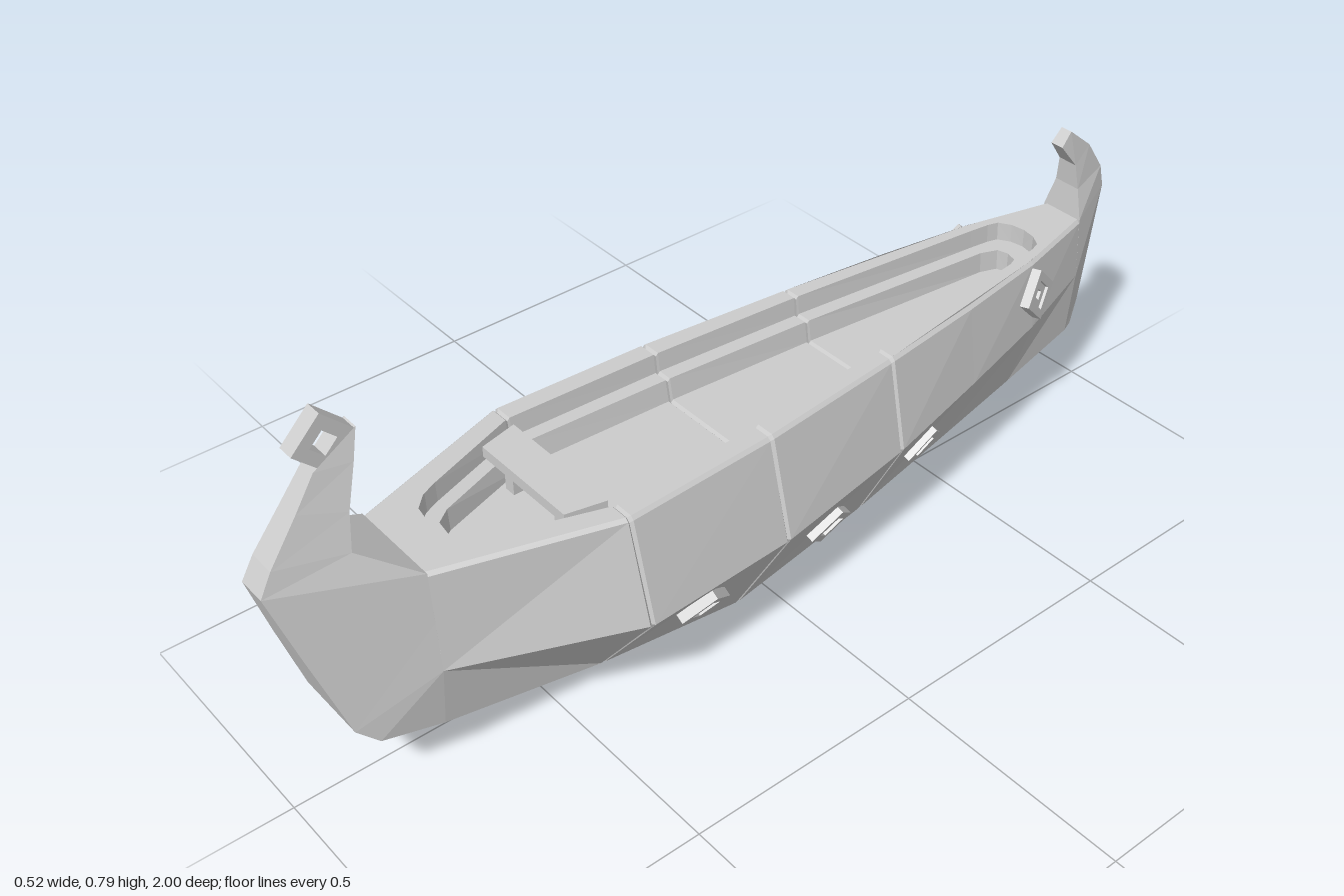
import * as THREE from 'three';

const SEAMS = [0.4, 0.07, -0.26];

// Stations: z, keel edge x/y, chine x/y, gunwale x
const OUTER = [
  [0.74, 0.1, 0.12, 0.115, 0.255, 0.1],
  [0.4, 0.1, 0.05, 0.258, 0.255, 0.205],
  [0.07, 0.096, 0.003, 0.241, 0.255, 0.19],
  [-0.26, 0.088, 0.06, 0.196, 0.27, 0.157],
  [-0.5, 0.074, 0.108, 0.153, 0.294, 0.128],
  [-0.71, 0.06, 0.149, 0.111, 0.314, 0.096],
  [-0.9, 0.045, 0.187, 0.057, 0.333, 0.049],
];
// Stations: z, well half width at the rim, half width at the floor
const INNER = [
  [0.74, 0, 0], [0.668, 0, 0], [0.66, 0.05, 0], [0.635, 0.075, 0], [0.63, 0.078, 0.035],
  [0.6, 0.091, 0.055], [0.4, 0.16, 0.118], [0.07, 0.145, 0.102], [-0.26, 0.118, 0.078],
  [-0.7, 0.068, 0.035], [-0.735, 0.063, 0.022], [-0.742, 0.062, 0], [-0.765, 0.055, 0],
  [-0.78, 0.03, 0], [-0.785, 0, 0], [-0.9, 0, 0],
];

// Linear lookup in a station table ordered from bow to stern
function sample(table, z) {
  let i = 0;
  while (i < table.length - 2 && z < table[i + 1][0]) i++;
  const a = table[i], b = table[i + 1], t = (z - a[0]) / (b[0] - a[0]);
  return a.map((v, k) => v + (b[k] - v) * t);
}

// Station positions with three tight rows round each seam
function positions(table) {
  const list = table.map(r => r[0]).filter(z => !SEAMS.includes(z));
  for (const s of SEAMS) list.push(s + 0.005, s, s - 0.005);
  return list.sort((a, b) => b - a);
}
const inset = z => (SEAMS.includes(z) ? 0.006 : 0);

// Collects quads for the +x half and mirrors them
function mirrored() {
  const pos = [];
  const tri = (a, b, c) => {
    pos.push(...a, ...b, ...c);
    for (const p of [a, c, b]) pos.push(-p[0], p[1], p[2]);
  };
  return {
    quad(a, b, c, d) { tri(a, b, c); tri(a, c, d); },
    geometry() {
      const g = new THREE.BufferGeometry();
      g.setAttribute('position', new THREE.Float32BufferAttribute(pos, 3));
      g.computeVertexNormals();
      return g;
    },
  };
}

// Outer planking: flat bottom, lower strake, upper strake, softened gunwale
function hullGeometry() {
  const m = mirrored();
  const rows = positions(OUTER).map(z => {
    const [, bx, by, cx, cy, gx] = sample(OUTER, z), d = inset(z);
    return {
      z, k: [0, by + d, z], b: [bx - d, by + d, z], c: [cx - d, cy, z],
      g: [gx - d, 0.458 - d, z], t: [gx - d - 0.007, 0.465 - d, z],
    };
  });
  for (let i = 0; i < rows.length - 1; i++) {
    const s = rows[i], n = rows[i + 1];
    m.quad(s.k, n.k, n.b, s.b);
    if (s.z > 0.5) m.quad(n.b, n.c, s.c, s.b);
    else m.quad(s.b, n.b, n.c, s.c);
    m.quad(s.c, n.c, n.g, s.g);
    m.quad(s.g, n.g, n.t, s.t);
  }
  return m.geometry();
}

// Stepped strip: rim deck, inner wall, ledge, lower wall and floor
function wellGeometry(from, to) {
  const m = mirrored();
  const rows = positions(INNER).map(z => {
    const gx = sample(OUTER, z)[5], [, a, l] = sample(INNER, z), d = inset(z);
    return [[gx - d - 0.007, 0.465], [a, 0.465], [a * 0.97, 0.425], [l * 1.08, 0.425], [l, 0.38], [0, 0.38]]
      .map(([x, y]) => [x, y - d, z]);
  });
  for (let i = 0; i < rows.length - 1; i++)
    for (let j = from; j < to; j++)
      m.quad(rows[i][j], rows[i + 1][j], rows[i + 1][j + 1], rows[i][j + 1]);
  return m.geometry();
}

// Stem rows: outer z, y, half width, then inner z, y, half width
const BOW = [
  [0.86, 0.145, 0.088, 0.74, 0.12, 0.1],
  [0.9, 0.185, 0.078, 0.74, 0.255, 0.115],
  [0.955, 0.36, 0.052, 0.74, 0.36, 0.107],
  [1.0, 0.51, 0.03, 0.74, 0.465, 0.1],
  [0.975, 0.555, 0.028, 0.845, 0.54, 0.055],
  [0.915, 0.635, 0.023, 0.832, 0.61, 0.042],
  [0.872, 0.695, 0.018, 0.805, 0.69, 0.028],
  [0.845, 0.7, 0.016, 0.788, 0.745, 0.017],
];
const STERN = [
  [-0.925, 0.19, 0.036, -0.9, 0.187, 0.045],
  [-0.945, 0.24, 0.031, -0.9, 0.333, 0.057],
  [-1.0, 0.5, 0.018, -0.9, 0.465, 0.049],
  [-0.988, 0.55, 0.017, -0.906, 0.53, 0.03],
  [-0.945, 0.615, 0.015, -0.9, 0.585, 0.022],
  [-0.885, 0.665, 0.013, -0.86, 0.637, 0.015],
];
function stemGeometry(rows) {
  const m = mirrored(), bow = rows[0][0] > 0;
  const put = (a, b, c, d) => (bow ? m.quad(a, b, c, d) : m.quad(d, c, b, a));
  const pts = rows.map(([zf, yf, wf, zb, yb, wb]) => [[0, yf, zf], [wf, yf, zf], [wb, yb, zb], [0, yb, zb]]);
  for (let i = 0; i < pts.length - 1; i++)
    for (let j = 0; j < 3; j++) put(pts[i][j], pts[i][j + 1], pts[i + 1][j + 1], pts[i + 1][j]);
  const first = pts[0], last = pts[pts.length - 1];
  put(first[3], first[2], first[1], first[0]);
  put(last[0], last[1], last[2], last[3]);
  return m.geometry();
}

// Square ring standing on a corner
function diamondRing(outer, inner, depth) {
  const corners = r => [[r, 0], [0, r], [-r, 0], [0, -r]].map(([x, y]) => new THREE.Vector2(x, y));
  const shape = new THREE.Shape(corners(outer));
  shape.holes.push(new THREE.Path(corners(inner).reverse()));
  return new THREE.ExtrudeGeometry(shape, { depth, bevelEnabled: false });
}

export function createModel() {
  const boat = new THREE.Group();
  boat.name = 'boat';
  const wood = new THREE.MeshStandardMaterial({ color: 0xcccccc, side: THREE.DoubleSide });
  wood.name = 'pale grey';
  const add = (name, geometry, parent = boat) => {
    const mesh = new THREE.Mesh(geometry, wood);
    mesh.name = name;
    parent.add(mesh);
    return mesh;
  };

  add('hull', hullGeometry());
  add('rimDeck', wellGeometry(0, 2));
  add('innerLedge', wellGeometry(2, 4));
  add('floor', wellGeometry(4, 5));
  add('bowStem', stemGeometry(BOW));
  add('sternStem', stemGeometry(STERN));

  // Pierced square at the top of the bow
  const head = add('bowRing', diamondRing(0.058, 0.025, 0.034).translate(0, 0, -0.017));
  head.rotation.y = Math.PI / 2;
  head.position.set(0, 0.74, 0.846);

  // Bench, narrower towards the bow, on two posts
  const bench = new THREE.Shape([[-0.14, -0.4], [0.14, -0.4], [0.122, -0.48], [-0.122, -0.48]]
    .map(([x, y]) => new THREE.Vector2(x, y)));
  add('bench', new THREE.ExtrudeGeometry(bench, { depth: 0.022, bevelEnabled: false })
    .rotateX(-Math.PI / 2).translate(0, 0.442, 0));
  for (const s of [-1, 1])
    add('benchPost', new THREE.BoxGeometry(0.025, 0.07, 0.04).translate(s * 0.075, 0.41, 0.44));

  // Diamond ornaments along both sides: position, then outward normal
  const ornaments = [
    [0.183, 0.155, 0.23, 0.83, -0.55, -0.02],
    [0.16, 0.155, -0.1, 0.88, -0.45, -0.12],
    [0.127, 0.19, -0.38, 0.87, -0.43, -0.2],
    [0.108, 0.395, -0.71, 0.93, 0.08, -0.3],
  ];
  for (const s of [-1, 1])
    for (const [x, y, z, nx, ny, nz] of ornaments) {
      const g = new THREE.Group();
      g.name = 'sideOrnament';
      g.position.set(s * x, y, z);
      g.lookAt(s * (x + nx), y + ny, z + nz);
      add('ornamentFrame', diamondRing(0.058, 0.034, 0.02).translate(0, 0, -0.006), g);
      add('ornamentCentre', diamondRing(0.034, 0.013, 0.014).translate(0, 0, -0.006), g);
      boat.add(g);
    }
  return boat;
}
